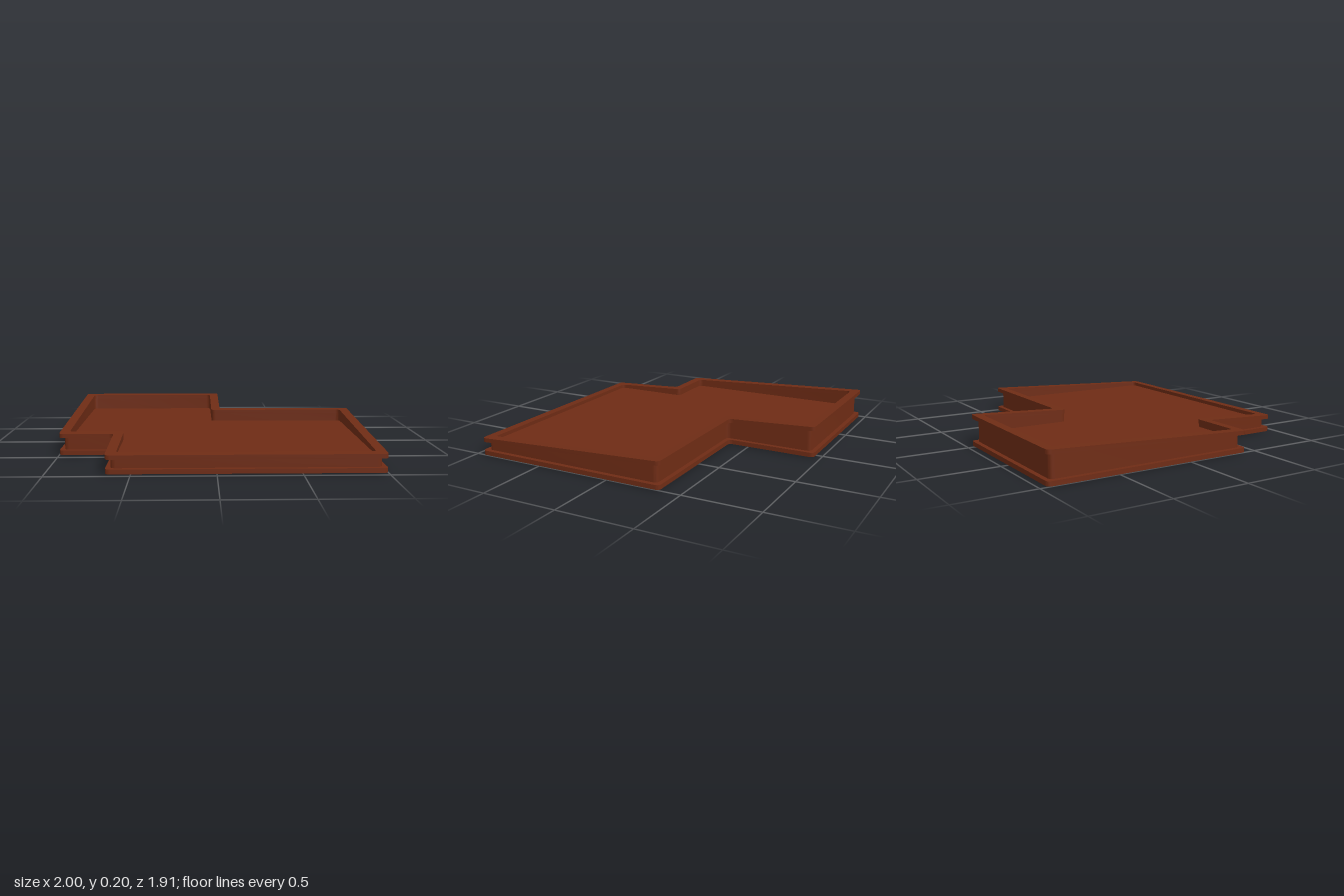
import * as THREE from 'three';
import { toCreasedNormals } from 'three/addons/utils/BufferGeometryUtils.js';

// Z-shaped plan, counter-clockwise, as [x, -z]
const PLAN = [[-0.65, -0.955], [1, -0.955], [1, 0.36], [0.055, 0.36],
  [0.055, 0.955], [-1, 0.955], [-1, -0.43], [-0.65, -0.43]];
const RADIUS = 0.03;
const FLOOR = 0.092;
const RIM = 0.027;

// Plan moved inwards by an inset, with every corner rounded
function outline(inset, PathType = THREE.Shape) {
  const n = PLAN.length;
  const dir = PLAN.map((p, i) => {
    const q = PLAN[(i + 1) % n];
    return new THREE.Vector2(q[0] - p[0], q[1] - p[1]).normalize();
  });
  const path = new PathType();
  PLAN.forEach((p, i) => {
    const a = dir[(i + n - 1) % n], b = dir[i];
    const x = p[0] - inset * (a.y + b.y), y = p[1] + inset * (a.x + b.x);
    const start = [x - a.x * RADIUS, y - a.y * RADIUS];
    if (i === 0) path.moveTo(...start);
    else path.lineTo(...start);
    path.quadraticCurveTo(x, y, x + b.x * RADIUS, y + b.y * RADIUS);
  });
  path.closePath();
  return path;
}

function ring(outer, inner) {
  const shape = outline(outer);
  shape.holes.push(outline(inner, THREE.Path));
  return shape;
}

// Height of the sloping top: low at the front, high at the back
const topHeight = (z) => 0.159 - 0.0476 * z;

export function createModel() {
  const model = new THREE.Group();
  const brown = new THREE.MeshStandardMaterial({ color: 0x6f2c15 });
  const grey = new THREE.MeshStandardMaterial({ color: 0xcccccc });

  // Extrudes a plan upwards; lower and upper give the heights of its two caps
  function add(name, shape, lower, upper) {
    const geo = new THREE.ExtrudeGeometry(shape, { depth: 1, bevelEnabled: false, curveSegments: 5 });
    geo.rotateX(-Math.PI / 2);
    const pos = geo.attributes.position;
    for (let i = 0; i < pos.count; i++) {
      const z = pos.getZ(i);
      pos.setY(i, pos.getY(i) < 0.5 ? lower(z) : upper(z));
    }
    const mesh = new THREE.Mesh(toCreasedNormals(geo, 0.6), brown);
    mesh.name = name;
    model.add(mesh);
  }

  add('baseFlange', outline(0), () => 0.001, () => 0.03);
  add('floor', outline(0.05), () => 0.03, () => FLOOR);
  add('wall', ring(0.03, 0.06), () => 0.03, (z) => topHeight(z) - RIM / 2);
  add('topRim', ring(0, 0.062), (z) => topHeight(z) - RIM, topHeight);

  // Plain underside
  const underside = new THREE.Mesh(new THREE.ShapeGeometry(outline(0), 5), grey);
  underside.geometry.scale(1, -1, 1);
  underside.geometry.rotateX(Math.PI / 2);
  // the mirrored scale reverses the winding, so turn the triangles back
  const index = underside.geometry.index;
  for (let i = 0; i < index.count; i += 3) {
    const a = index.getX(i);
    index.setX(i, index.getX(i + 2));
    index.setX(i + 2, a);
  }
  underside.geometry.computeVertexNormals();
  underside.name = 'underside';
  model.add(underside);

  return model;
}
